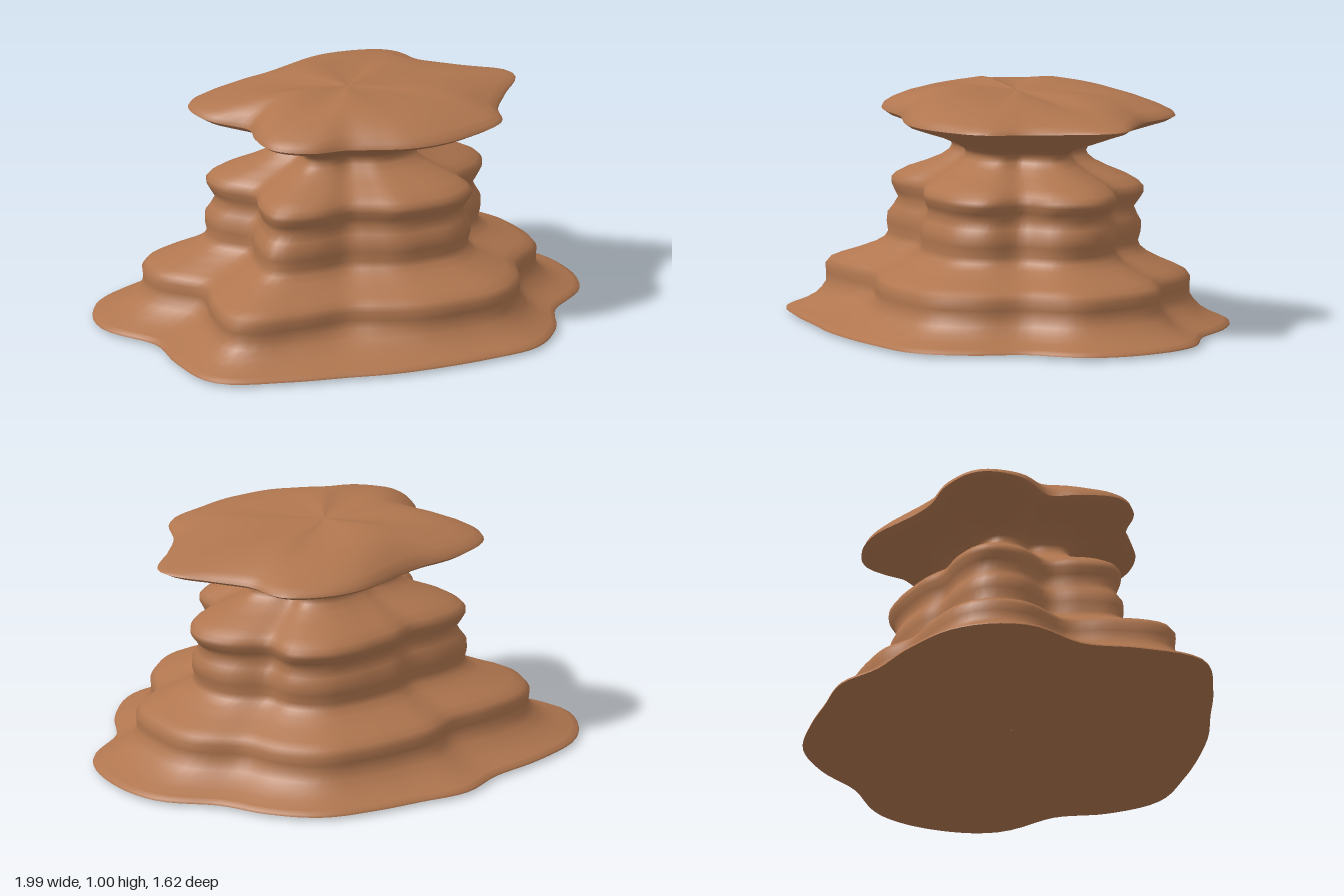
import * as THREE from 'three';

// Outline radii every 15 degrees, starting at +x and turning towards +z
const FOOT = [0.995, 0.97, 0.845, 0.88, 0.90, 0.835, 0.80, 0.80, 0.825, 0.915, 1.035, 0.96,
  0.895, 1.03, 1.025, 0.91, 0.815, 0.83, 0.80, 0.82, 0.865, 0.86, 0.85, 0.965];
const LEDGE = [0.79, 0.79, 0.69, 0.73, 0.74, 0.685, 0.645, 0.60, 0.59, 0.71, 0.865, 0.765,
  0.675, 0.81, 0.83, 0.71, 0.61, 0.63, 0.635, 0.66, 0.705, 0.695, 0.665, 0.77];
const MIDDLE = [0.775, 0.715, 0.585, 0.68, 0.67, 0.615, 0.575, 0.51, 0.50, 0.635, 0.725, 0.645,
  0.56, 0.69, 0.745, 0.645, 0.54, 0.55, 0.565, 0.61, 0.66, 0.67, 0.585, 0.705];
const CAP = [0.765, 0.66, 0.61, 0.65, 0.605, 0.57, 0.53, 0.485, 0.475, 0.555, 0.585, 0.52,
  0.465, 0.595, 0.65, 0.58, 0.485, 0.465, 0.495, 0.56, 0.62, 0.655, 0.59, 0.65];
const OUTLINES = [FOOT, LEDGE, MIDDLE, CAP];
const SEGMENTS = 120;

// Smooth periodic interpolation of an outline, t in 0..1
function radiusAt(outline, t) {
  const n = outline.length, f = t * n, i = Math.floor(f), k = f - i;
  const [a, b, c, d] = [-1, 0, 1, 2].map((o) => outline[(i + o + n) % n]);
  return b + 0.5 * k * (c - a + k * (2 * a - 5 * b + 4 * c - d + k * (3 * (b - c) + d - a)));
}

// Loft rings of [height, outline blend 0..3, scale, lift of the hollows]
function loft(rings) {
  const positions = [], index = [], row = SEGMENTS;
  for (const [y, blend, scale, lift = 0] of rings) {
    const lower = Math.min(2, Math.floor(blend)), k = blend - lower;
    for (let i = 0; i < row; i++) {
      const t = i / row, a = t * Math.PI * 2;
      const r = scale * THREE.MathUtils.lerp(
        radiusAt(OUTLINES[lower], t), radiusAt(OUTLINES[lower + 1], t), k);
      const rise = lift * (0.58 - radiusAt(CAP, t));
      positions.push(r * Math.cos(a), y + rise, r * Math.sin(a));
    }
  }
  for (let j = 0; j < rings.length - 1; j++) {
    for (let i = 0; i < row; i++) {
      const p = j * row + i, q = j * row + (i + 1) % row;
      index.push(p, p + row, q, q, p + row, q + row);
    }
  }
  const geometry = new THREE.BufferGeometry();
  geometry.setAttribute('position', new THREE.Float32BufferAttribute(positions, 3));
  geometry.setIndex(index);
  geometry.computeVertexNormals();
  return geometry;
}

export function createModel() {
  const group = new THREE.Group();
  group.name = 'mesaRock';
  const sandstone = new THREE.MeshStandardMaterial({ color: 0xb0764f });
  sandstone.name = 'sandstone';

  const parts = {
    // Almost flat bottom, rising slightly in the middle
    underside: [[0.02, 0, 0.001], [0.018, 0, 0.5], [0.01, 0, 0.92, 0.04], [0.016, 0, 1]],
    // Thin rim around the foot
    footRim: [[0.016, 0, 1], [0.025, 0, 0.997], [0.035, 0, 0.975]],
    // Eroded layers from the foot up to the neck and the overhang
    layeredBody: [
      [0.035, 0, 0.975], [0.055, 0.25, 0.965], [0.08, 0.5, 0.96], [0.11, 0.75, 0.97],
      [0.14, 0.95, 0.985], [0.175, 1, 0.995], [0.21, 1, 1], [0.235, 1, 0.975],
      [0.255, 1, 0.92], [0.28, 1.06, 0.84], [0.31, 1.2, 0.765], [0.335, 1.3, 0.725],
      [0.36, 1.4, 0.715], [0.4, 1.5, 0.735], [0.44, 1.6, 0.742], [0.47, 1.7, 0.722],
      [0.505, 1.8, 0.705], [0.535, 1.9, 0.74], [0.565, 2, 0.772], [0.585, 2, 0.772],
      [0.605, 2, 0.745], [0.63, 2, 0.68], [0.66, 2.1, 0.575], [0.69, 2.2, 0.485],
      [0.715, 2.3, 0.44], [0.735, 2.4, 0.43], [0.755, 2.6, 0.45], [0.78, 2.8, 0.54],
      [0.815, 3, 0.7], [0.843, 3, 0.85, -0.05], [0.862, 3, 0.95, -0.07], [0.88, 3, 1, -0.08],
    ],
    // Cap surface with hollows running out from the middle
    capTop: [
      [0.88, 3, 1, -0.08], [0.898, 3, 0.985, -0.03], [0.918, 3, 0.93, 0.04],
      [0.945, 3, 0.82, 0.11], [0.966, 3, 0.7, 0.15], [0.979, 3, 0.56, 0.16],
      [0.983, 3, 0.4, 0.14], [0.98, 3, 0.2, 0.08], [0.977, 3, 0.001],
    ],
  };
  for (const [name, rings] of Object.entries(parts)) {
    const mesh = new THREE.Mesh(loft(rings), sandstone);
    mesh.name = name;
    group.add(mesh);
  }
  return group;
}
